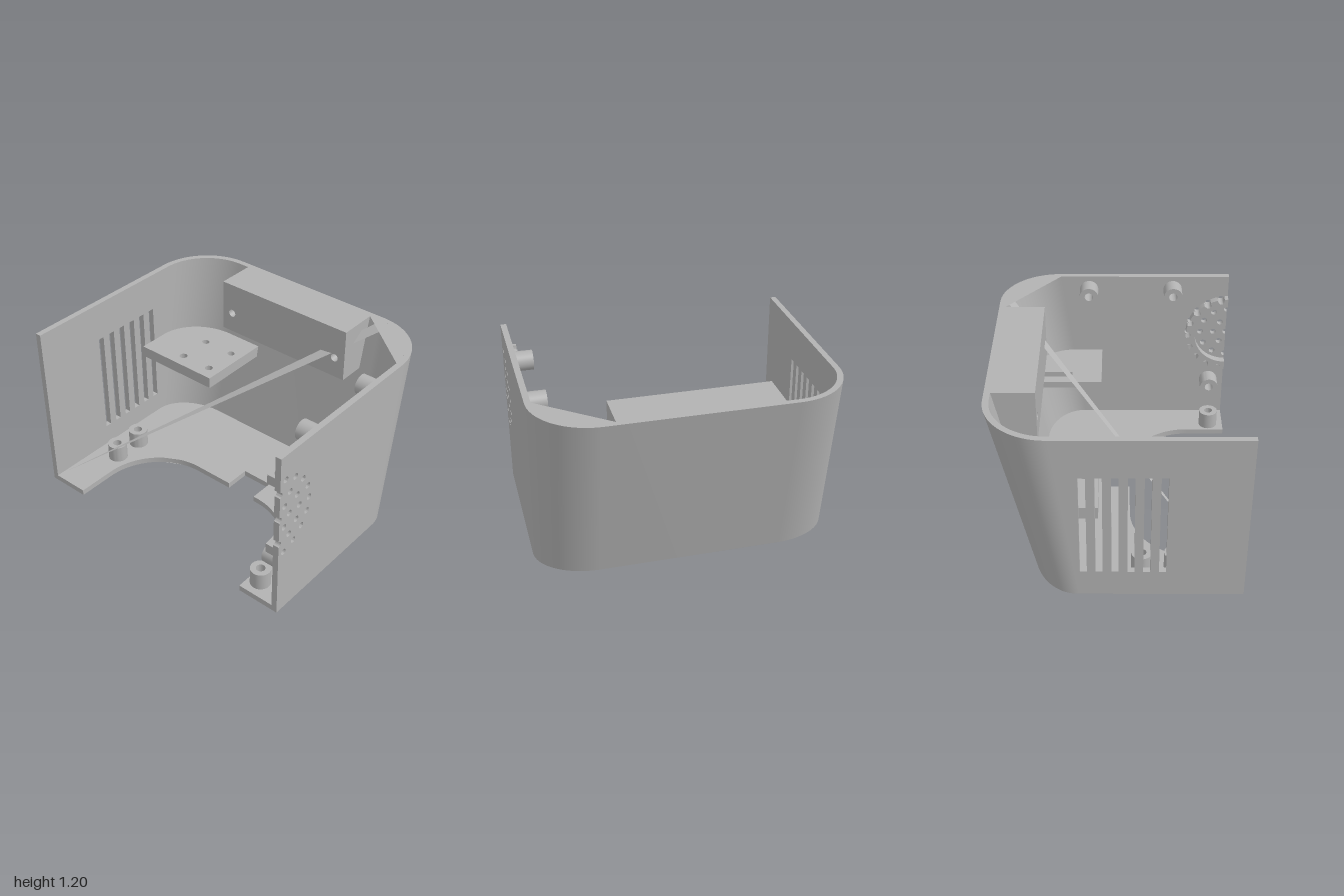
import * as THREE from 'three';
import { toCreasedNormals } from 'three/addons/utils/BufferGeometryUtils.js';

const H = 1.2, T = 0.04;

export function createModel() {
  const group = new THREE.Group();
  const grey = new THREE.MeshStandardMaterial({ color: 0xb2b2b2, side: THREE.DoubleSide });
  grey.name = 'plain grey';

  const add = (name, geo) => {
    const mesh = new THREE.Mesh(toCreasedNormals(geo, 0.6), grey);
    mesh.name = name;
    group.add(mesh);
    return mesh;
  };
  const extrude = (shape, depth) =>
    new THREE.ExtrudeGeometry(shape, { depth, bevelEnabled: false, curveSegments: 20 });

  // Plan outline (x, -z) raised from y0 to y1; its rounded rear follows the leaning back wall
  const plan = (shape, y0, y1) => {
    const geo = extrude(shape, y1 - y0);
    geo.rotateX(-Math.PI / 2).translate(0, y0, 0);
    const p = geo.attributes.position;
    for (let i = 0; i < p.count; i++) {
      const z = p.getZ(i), t = p.getY(i) / H;
      if (z < -0.399) p.setZ(i, -0.24 - 0.16 * t + (z + 0.4) * (0.29 + 0.11 * t) / 0.4);
    }
    return geo;
  };
  // Side outline (-z, y) given a thickness along x
  const sideways = (shape, x0, x1) =>
    extrude(shape, x1 - x0).rotateY(Math.PI / 2).translate(x0, 0, 0);

  const poly = (pts) => new THREE.Shape(pts.map(([x, y]) => new THREE.Vector2(x, y)));
  const disc = (x, y, r) => new THREE.Path().absarc(x, y, r, 0, Math.PI * 2);
  const box = (x0, y0, x1, y1) =>
    new THREE.Path([[x0, y0], [x1, y0], [x1, y1], [x0, y1]].map((q) => new THREE.Vector2(...q)));
  const ring = (x, y, r, hole) => {
    const s = new THREE.Shape().absarc(x, y, r, 0, Math.PI * 2);
    s.holes.push(disc(x, y, hole));
    return s;
  };

  // Back wall with rounded corners
  const back = new THREE.Shape();
  back.moveTo(1, 0.4);
  back.absarc(0.6, 0.4, 0.4, 0, Math.PI / 2);
  back.absarc(-0.6, 0.4, 0.4, Math.PI / 2, Math.PI);
  back.lineTo(-0.96, 0.4);
  back.absarc(-0.6, 0.4, 0.36, Math.PI, Math.PI / 2, true);
  back.absarc(0.6, 0.4, 0.36, Math.PI / 2, 0, true);
  back.closePath();
  add('backWall', plan(back, 0, H));

  // Right wall with ventilation slots
  const outline = [[-0.8, 0], [0.24, 0], [0.4, H], [-0.8, H]];
  const slotWall = poly(outline);
  for (let i = 0; i < 6; i++) {
    const c = 0.205 - i * 0.098;
    slotWall.holes.push(box(c - 0.022, 0.19, c + 0.022, 0.93));
  }
  add('rightWall', sideways(slotWall, -1, -1 + T));

  // Left wall with a half circle of speaker holes
  const cz = -0.8, cy = 0.75, hr = 0.021;
  const speakerWall = poly(outline);
  for (const y of [cy + 0.187, cy, cy - 0.187])
    speakerWall.absarc(cz, y, hr, Math.PI / 2, -Math.PI / 2, true);
  speakerWall.closePath();
  for (const [r, step, n] of [[0.28, 20, 4], [0.187, 30, 2], [0.092, 60, 1]])
    for (let k = -n; k <= n; k++) {
      const a = THREE.MathUtils.degToRad(k * step);
      speakerWall.holes.push(disc(cz + r * Math.cos(a), cy + r * Math.sin(a), hr));
    }
  add('leftWall', sideways(speakerWall, 1 - T, 1));

  // Speaker rim, notched where the outer holes pass
  const rim = [];
  for (let d = -90; d <= 90; d++) {
    const off = THREE.MathUtils.degToRad(d - Math.round(d / 20) * 20) * 0.28;
    const r = Math.abs(off) < hr ? 0.28 - Math.sqrt(hr * hr - off * off) : 0.295;
    const a = THREE.MathUtils.degToRad(d);
    rim.push([cz + r * Math.cos(a), cy + r * Math.sin(a)]);
  }
  for (let d = 90; d >= -90; d -= 6) {
    const a = THREE.MathUtils.degToRad(d);
    rim.push([cz + 0.23 * Math.cos(a), cy + 0.23 * Math.sin(a)]);
  }
  add('speakerRim', sideways(poly(rim), 0.905, 0.96));

  // Floor with arched opening and cable notch
  const floor = new THREE.Shape();
  floor.moveTo(-0.96, -0.8);
  floor.lineTo(-0.705, -0.8);
  floor.absarc(-0.265, -0.53, 0.44, Math.PI, Math.PI / 2, true);
  for (const [x, y] of [[0.02, -0.09], [0.02, 0.085], [0.24, 0.085], [0.24, -0.09]]) floor.lineTo(x, y);
  floor.absarc(0.265, -0.53, 0.44, Math.PI / 2, 0, true);
  floor.lineTo(0.705, -0.8);
  floor.lineTo(0.96, -0.8);
  floor.absarc(0.6, 0.4, 0.36, 0, Math.PI / 2);
  floor.absarc(-0.6, 0.4, 0.36, Math.PI / 2, Math.PI);
  floor.closePath();
  add('floor', plan(floor, 0, T));

  // Shelf in the right rear corner with four screw holes
  const shelf = new THREE.Shape();
  shelf.moveTo(-0.96, 0.11);
  shelf.lineTo(-0.325, 0.11);
  shelf.lineTo(-0.325, 0.76);
  shelf.absarc(-0.6, 0.4, 0.36, Math.PI / 2, Math.PI);
  shelf.closePath();
  for (const x of [-0.655, -0.415])
    for (const z of [0.205, 0.533]) shelf.holes.push(disc(x, z, 0.028));
  add('rightShelf', plan(shelf, 0.59, 0.67));

  // Shelf in the left rear corner with a slot
  const ledge = new THREE.Shape();
  ledge.moveTo(0.52, 0.11);
  ledge.lineTo(0.96, 0.11);
  ledge.absarc(0.6, 0.4, 0.36, 0, Math.PI / 2);
  ledge.lineTo(0.52, 0.76);
  ledge.closePath();
  ledge.holes.push(box(0.595, 0.32, 0.65, 0.66));
  add('leftShelf', plan(ledge, 0.545, 0.59));

  // Mounting block on the back wall, with a drilled face
  add('mountBlock', sideways(poly([[0.55, 0.83], [0.7, 0.83], [0.78, H], [0.55, H]]), -0.52, 0.52));
  const face = poly([[-0.52, 0.83], [0.52, 0.83], [0.52, H], [-0.52, H]]);
  for (const x of [-0.44, 0.44]) face.holes.push(disc(x, 0.975, 0.028));
  add('mountBlockFace', extrude(face, 0.06).translate(0, 0, -0.55));

  // Screw posts on the floor and on the left wall
  for (const [x, z] of [[-0.79, 0.16], [-0.79, 0.37], [0.785, 0.69]])
    add('floorPost', plan(ring(x, -z, 0.067, 0.03), T, 0.16));
  for (const [z, y] of [[-0.2, 1.1], [0.4, 1.1], [0.69, 0.335]])
    add('wallPost', sideways(ring(-z, y, 0.066, 0.03), 0.84, 0.96));

  // Thin corner cover at the top and the slender brace
  const facet = (name, pts) => {
    const geo = new THREE.BufferGeometry().setFromPoints(pts.map((q) => new THREE.Vector3(...q)));
    geo.computeVertexNormals();
    add(name, geo);
  };
  const cover = new THREE.Shape();
  cover.moveTo(0.96, 0.4);
  cover.absarc(0.6, 0.4, 0.36, 0, Math.PI / 2);
  cover.lineTo(0.52, 0.76);
  cover.closePath();
  add('cornerCover', new THREE.ShapeGeometry(cover, 16).rotateX(-Math.PI / 2).translate(0, H, 0));
  facet('brace', [[-0.95, T, 0.74], [0.7, H, -0.745], [0.61, H, -0.76]]);

  return group;
}
